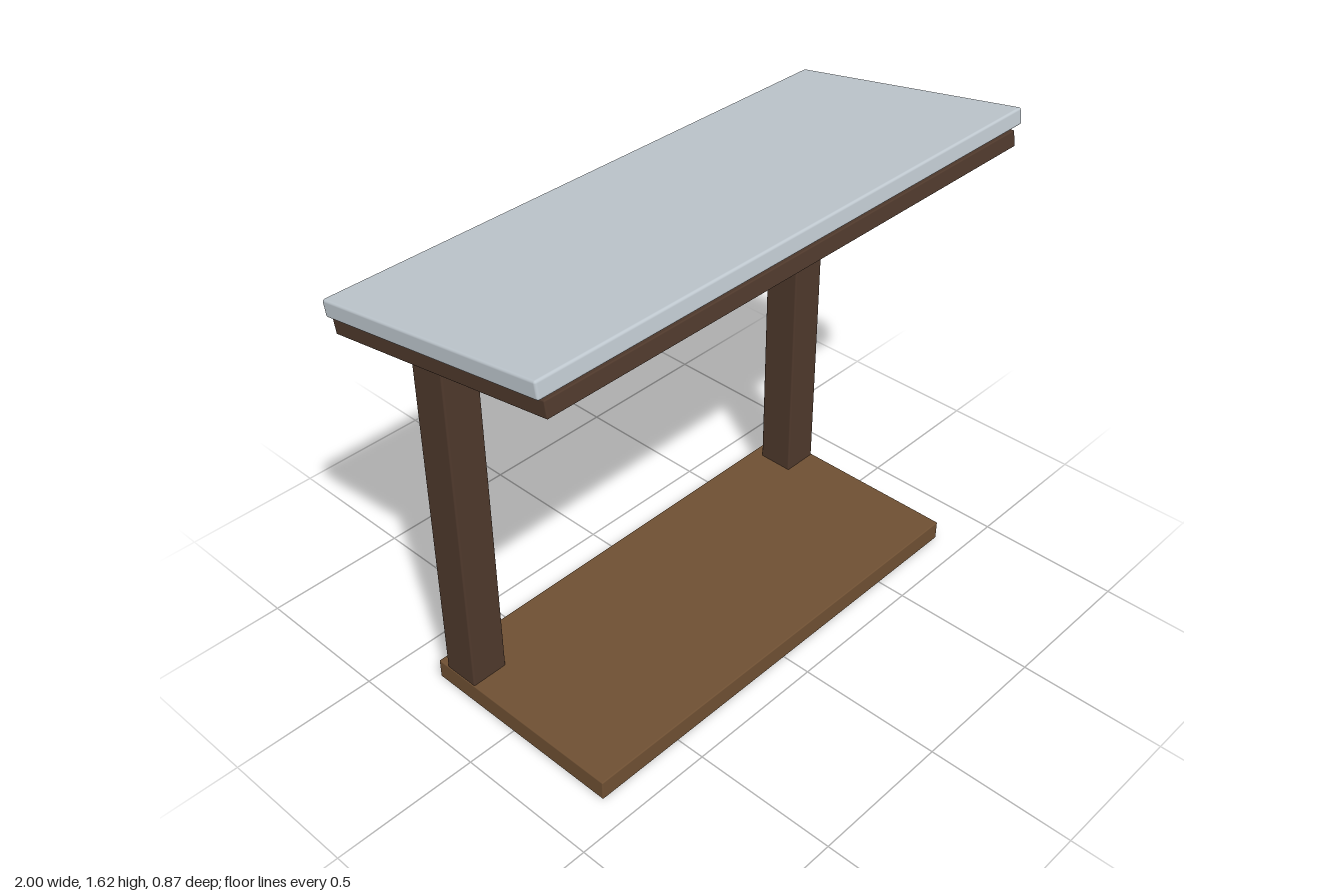
import * as THREE from 'three';
import { RoundedBoxGeometry } from 'three/addons/geometries/RoundedBoxGeometry.js';

const TILT = 0.165; // slope of the desk top, front edge higher

function material(name, color) {
  const m = new THREE.MeshStandardMaterial({ color });
  m.name = name;
  return m;
}

export function createModel() {
  const group = new THREE.Group();
  const paleGrey = material('paleGrey', 0xbfc8cf);
  const darkWood = material('darkWood', 0x4f392c);
  const midWood = material('midWood', 0x6f5033);
  const cream = material('cream', 0xcabb80);
  const steel = material('steel', 0x7f8b95);

  // Box with narrow softened edges
  function slab(name, size, position, mat, bevel, tilt = 0) {
    const mesh = new THREE.Mesh(new RoundedBoxGeometry(...size, 2, bevel), mat);
    mesh.name = name;
    mesh.position.set(...position);
    mesh.rotation.x = -tilt;
    group.add(mesh);
  }

  // Foot board and sloping top
  slab('base', [1.65, 0.07, 0.75], [0, 0.035, 0.025], midWood, 0.004);
  slab('topPanel', [2, 0.055, 0.87], [0, 1.525, 0], paleGrey, 0.008, TILT);
  slab('topFrame', [1.95, 0.053, 0.87], [0, 1.458, 0], darkWood, 0.004, TILT);

  // Rail behind the posts
  slab('rearRail', [1.46, 0.047, 0.045], [0, 1.333, -0.374], cream, 0.008);

  // Posts with round mounts let into the frame
  const mountProfile = [[0, 0], [0.085, 0], [0.094, 0.01], [0.094, 0.08], [0, 0.08]]
    .map(([r, y]) => new THREE.Vector2(r, y));
  const mountGeometry = new THREE.LatheGeometry(mountProfile, 32).toNonIndexed();
  mountGeometry.computeVertexNormals();
  for (const [side, label] of [[1, 'left'], [-1, 'right']]) {
    slab(label + 'Post', [0.131, 1.335, 0.13], [side * 0.757, 0.7325, -0.245], darkWood, 0.006);
    const mount = new THREE.Mesh(mountGeometry, steel);
    mount.name = label + 'Mount';
    mount.position.set(side * 0.757, 1.388, -0.245);
    group.add(mount);
  }
  return group;
}
